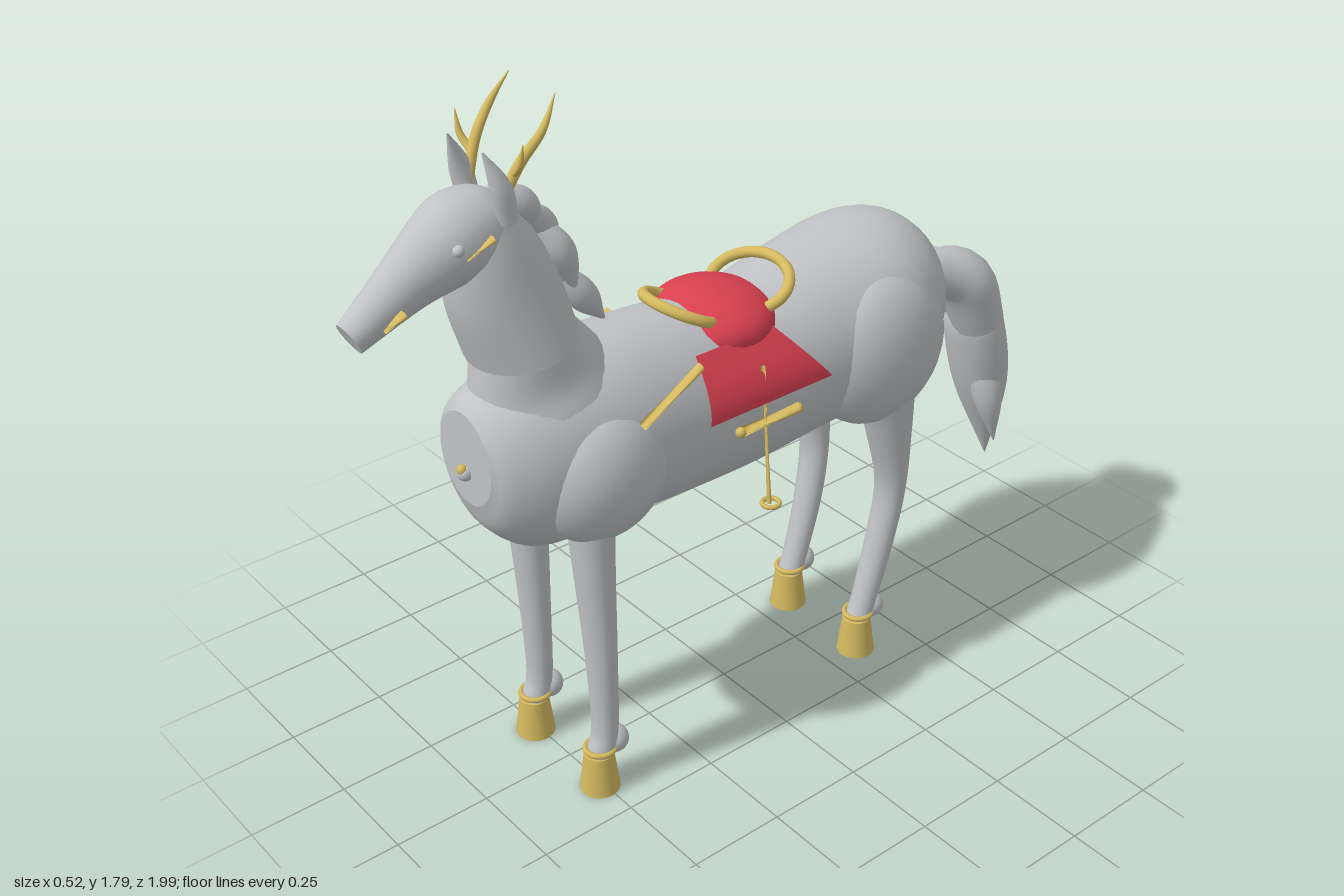
import * as THREE from 'three';

const silver = new THREE.MeshStandardMaterial({ name: 'silver', color: 0xc0c2c5 });
const gold = new THREE.MeshStandardMaterial({ name: 'gold', color: 0xd4b95f });
const red = new THREE.MeshStandardMaterial({ name: 'saddle red', color: 0xd8404f, side: THREE.DoubleSide });

// Smooth skin through rings [x, y, z, half width, half depth], with flat end caps.
function loft(rings, { axis = null, steps = 5, sides = 28 } = {}) {
  const path = new THREE.CatmullRomCurve3(rings.map(r => new THREE.Vector3(r[0], r[1], r[2])), false, 'catmullrom');
  const size = new THREE.CatmullRomCurve3(rings.map(r => new THREE.Vector3(r[3], r[4] ?? r[3], 0)), false, 'catmullrom');
  const n = (rings.length - 1) * steps;
  const pos = [], index = [];
  const ring = i => {
    const c = path.getPoint(i / n), r = size.getPoint(i / n);
    const t = axis ?? path.getTangent(i / n);
    const v = new THREE.Vector3(0, t.z, -t.y).normalize();
    for (let k = 0; k < sides; k++) {
      const a = k / sides * Math.PI * 2, h = Math.sin(a) * Math.max(r.y, 0.0005);
      pos.push(c.x + Math.cos(a) * Math.max(r.x, 0.0005), c.y + v.y * h, c.z + v.z * h);
    }
    return c;
  };
  for (let i = 0; i <= n; i++) ring(i);
  for (let i = 0; i < n; i++) {
    for (let k = 0; k < sides; k++) {
      const a = i * sides + k, b = i * sides + (k + 1) % sides;
      index.push(a, b, b + sides, a, b + sides, a + sides);
    }
  }
  for (const end of [0, n]) {
    const start = pos.length / 3, c = ring(end);
    pos.push(c.x, c.y, c.z);
    for (let k = 0; k < sides; k++) {
      const a = start + k, b = start + (k + 1) % sides;
      index.push(start + sides, end ? a : b, end ? b : a);
    }
  }
  const g = new THREE.BufferGeometry();
  g.setAttribute('position', new THREE.Float32BufferAttribute(pos, 3));
  g.setIndex(index);
  g.computeVertexNormals();
  return g;
}

export function createModel() {
  const model = new THREE.Group();
  model.name = 'horse';
  const add = (name, geometry, material, x = 0, y = 0, z = 0) => {
    const m = new THREE.Mesh(geometry, material);
    m.name = name;
    m.position.set(x, y, z);
    model.add(m);
    return m;
  };
  const ball = (name, material, x, y, z, rx, ry = rx, rz = rx) => {
    const m = add(name, new THREE.SphereGeometry(1, 32, 20), material, x, y, z);
    m.scale.set(rx, ry, rz);
    return m;
  };
  const rod = (name, a, b, r) => add(name, loft([[...a, r], [...b, r]], { sides: 12, steps: 1 }), gold);

  // Barrel of the body, flat at the chest
  add('body', loft([
    [0, 0.97, -0.655, 0.07, 0.095], [0, 0.975, -0.6, 0.15, 0.165], [0, 0.97, -0.52, 0.205, 0.225],
    [0, 0.965, -0.4, 0.235, 0.245], [0, 0.94, -0.2, 0.215, 0.24], [0, 0.91, 0, 0.2, 0.23],
    [0, 0.92, 0.2, 0.2, 0.24], [0, 0.93, 0.4, 0.2, 0.24], [0, 0.925, 0.6, 0.185, 0.225],
    [0, 0.945, 0.7, 0.145, 0.17], [0, 0.97, 0.735, 0.1, 0.115],
  ], { axis: new THREE.Vector3(0, 0, 1), sides: 40 }), silver);
  ball('chestStud', silver, 0, 0.935, 0.738, 0.019);
  ball('chestStudTop', gold, 0, 0.946, 0.746, 0.012);

  // Neck in two sections, the upper one overhanging the collar
  const neckAxis = new THREE.Vector3(0, 0.97, 0.22);
  add('neckCollar', loft([
    [0, 1.08, 0.53, 0.15, 0.18], [0, 1.14, 0.545, 0.128, 0.158], [0, 1.225, 0.572, 0.12, 0.118],
  ], { axis: neckAxis }), silver);
  add('neck', loft([
    [0, 1.215, 0.575, 0.142, 0.125], [0, 1.35, 0.615, 0.118, 0.127],
    [0, 1.46, 0.645, 0.1, 0.105], [0, 1.54, 0.67, 0.08, 0.07],
  ], { axis: neckAxis }), silver);

  // Head tapering to a flat muzzle
  add('head', loft([
    [0, 1.55, 0.6, 0.03, 0.03], [0, 1.535, 0.635, 0.074, 0.075], [0, 1.51, 0.7, 0.092, 0.1],
    [0, 1.48, 0.765, 0.083, 0.089], [0, 1.436, 0.85, 0.06, 0.066], [0, 1.355, 0.983, 0.038, 0.038],
  ], { axis: new THREE.Vector3(0, -0.45, 0.89) }), silver);

  // Mane locks overlapping down the back of the neck
  const mane = [
    [[0, 1.585, 0.63], [0.005, 1.53, 0.555], [-0.015, 1.44, 0.495]],
    [[0.015, 1.53, 0.565], [-0.02, 1.45, 0.49], [-0.035, 1.34, 0.455]],
    [[-0.02, 1.49, 0.535], [0.01, 1.4, 0.47], [0.005, 1.28, 0.425]],
    [[0.01, 1.41, 0.49], [-0.03, 1.32, 0.44], [-0.05, 1.21, 0.38]],
    [[-0.02, 1.35, 0.465], [-0.01, 1.26, 0.4], [-0.035, 1.165, 0.325]],
  ];
  for (const [a, b, c] of mane) {
    add('maneLock', loft([[...a, 0.012], [...b, 0.035, 0.036], [...c, 0.004]], { sides: 16, steps: 8 }), silver);
  }

  // Tail: two locks, each with an arched upper and a pointed lower section
  add('tailUpper', loft([
    [0.005, 0.96, -0.6, 0.035, 0.06], [0.01, 0.965, -0.7, 0.055, 0.063],
    [0.018, 0.92, -0.8, 0.088, 0.073], [0.02, 0.78, -0.865, 0.075, 0.068],
  ]), silver);
  add('tailLower', loft([
    [0.015, 0.83, -0.85, 0.055, 0.05], [0, 0.75, -0.877, 0.088, 0.075],
    [-0.005, 0.55, -0.925, 0.075, 0.07], [0, 0.31, -0.96, 0.002, 0.002],
  ]), silver);
  add('sideLockUpper', loft([
    [-0.01, 0.97, -0.66, 0.025, 0.03], [-0.05, 0.94, -0.77, 0.05, 0.05], [-0.065, 0.8, -0.88, 0.045, 0.055],
  ]), silver);
  add('sideLockLower', loft([
    [-0.06, 0.84, -0.88, 0.03, 0.03], [-0.03, 0.73, -0.9, 0.06, 0.06],
    [0.04, 0.55, -0.9, 0.045, 0.045], [0.06, 0.39, -0.925, 0.002, 0.002],
  ]), silver);

  // Saddle seat with raised front and rear rails
  ball('saddleSeat', red, 0, 1.09, 0.04, 0.16, 0.082, 0.15);
  for (const [name, z, dir, r] of [['pommelRail', 0.13, 1, 0.096], ['cantleRail', -0.075, -1, 0.115]]) {
    const points = [];
    for (let i = 0; i <= 12; i++) {
      const a = (-0.12 + 1.24 * i / 12) * Math.PI, k = Math.sin(a);
      points.push(new THREE.Vector3(Math.cos(a) * r, 1.14 + 0.04 * k, z + dir * 0.08 * k));
    }
    const curve = new THREE.CatmullRomCurve3(points);
    add(name, new THREE.TubeGeometry(curve, 40, 0.014, 12), gold);
    for (const p of [points[0], points[12]]) ball('railEnd', gold, p.x, p.y, p.z, 0.014);
  }

  for (const s of [1, -1]) {
    // Shoulder and haunch
    ball('shoulder', silver, s * 0.12, 0.89, 0.465, 0.122, 0.17, 0.175);
    ball('haunch', silver, s * 0.135, 0.925, -0.37, 0.127, 0.21, 0.205);

    // Legs
    add('frontLeg', loft([
      [s * 0.13, 0.86, 0.5, 0.07, 0.06], [s * 0.133, 0.7, 0.5, 0.057, 0.05],
      [s * 0.136, 0.4, 0.49, 0.044, 0.037], [s * 0.137, 0.18, 0.487, 0.035, 0.032], [s * 0.137, 0.1, 0.505, 0.035, 0.034],
    ]), silver);
    add('hindLeg', loft([
      [s * 0.16, 0.84, -0.385, 0.075, 0.085], [s * 0.155, 0.7, -0.41, 0.063, 0.062],
      [s * 0.147, 0.5, -0.437, 0.046, 0.037], [s * 0.14, 0.33, -0.415, 0.04, 0.035],
      [s * 0.137, 0.16, -0.37, 0.035, 0.032], [s * 0.137, 0.1, -0.35, 0.035, 0.033],
    ]), silver);
    for (const z of [0.508, -0.345]) {
      add('hoof', new THREE.CylinderGeometry(0.037, 0.05, 0.105, 28), gold, s * 0.137, 0.0525, z);
      const band = add('hoofBand', new THREE.TorusGeometry(0.036, 0.007, 8, 28), gold, s * 0.137, 0.118, z - 0.004);
      band.rotation.x = Math.PI / 2;
      ball('fetlock', silver, s * 0.137, 0.125, z - 0.047, 0.036);
    }

    // Ears, antlers and face trim
    add('ear', loft([
      [s * 0.07, 1.54, 0.635, 0.025, 0.025], [s * 0.076, 1.62, 0.65, 0.02, 0.024], [s * 0.064, 1.7, 0.68, 0.002, 0.002],
    ], { sides: 16 }), silver);
    add('antler', loft([
      [s * 0.06, 1.57, 0.645, 0.012], [s * 0.082, 1.66, 0.605, 0.012],
      [s * 0.096, 1.725, 0.555, 0.009], [s * 0.082, 1.79, 0.51, 0.001],
    ], { sides: 12 }), gold);
    add('antlerBranch', loft([
      [s * 0.08, 1.64, 0.615, 0.01], [s * 0.11, 1.67, 0.622, 0.008], [s * 0.124, 1.72, 0.622, 0.001],
    ], { sides: 12 }), gold);
    ball('eye', silver, s * 0.084, 1.515, 0.763, 0.013);
    rod('eyeTrim', [s * 0.089, 1.498, 0.75], [s * 0.094, 1.522, 0.685], 0.009);
    rod('cheekTrim', [s * 0.05, 1.38, 0.932], [s * 0.06, 1.403, 0.885], 0.011);

    // Saddle flap, a bowed sheet
    const flap = new THREE.PlaneGeometry(1, 1, 8, 8), p = flap.attributes.position;
    for (let i = 0; i < p.count; i++) {
      const u = p.getX(i) + 0.5, d = 0.5 - p.getY(i);
      const front = 0.2 + 0.02 * d, rear = -0.03 - 0.12 * d;
      p.setXYZ(i, s * (0.14 + 0.08 * Math.sin(d * Math.PI / 2)), 1.095 - 0.142 * d, front + (rear - front) * u);
    }
    flap.computeVertexNormals();
    add('saddleFlap', flap, red);

    // Girth strap and stirrup
    rod('breastStrap', [s * 0.203, 1.018, 0.4], [s * 0.172, 1.086, 0.21], 0.011);
    rod('stirrupStrap', [s * 0.2, 1.04, 0.05], [s * 0.228, 0.68, 0.05], 0.006);
    rod('stirrupBar', [s * 0.217, 0.902, 0.13], [s * 0.217, 0.902, -0.045], 0.013);
    for (const z of [0.13, -0.045]) ball('barEnd', gold, s * 0.217, 0.902, z, 0.013);
    const ring = add('stirrupRing', new THREE.TorusGeometry(0.021, 0.006, 8, 24), gold, s * 0.228, 0.678, 0.045);
    ring.rotation.x = Math.PI / 2;
  }
  return model;
}
